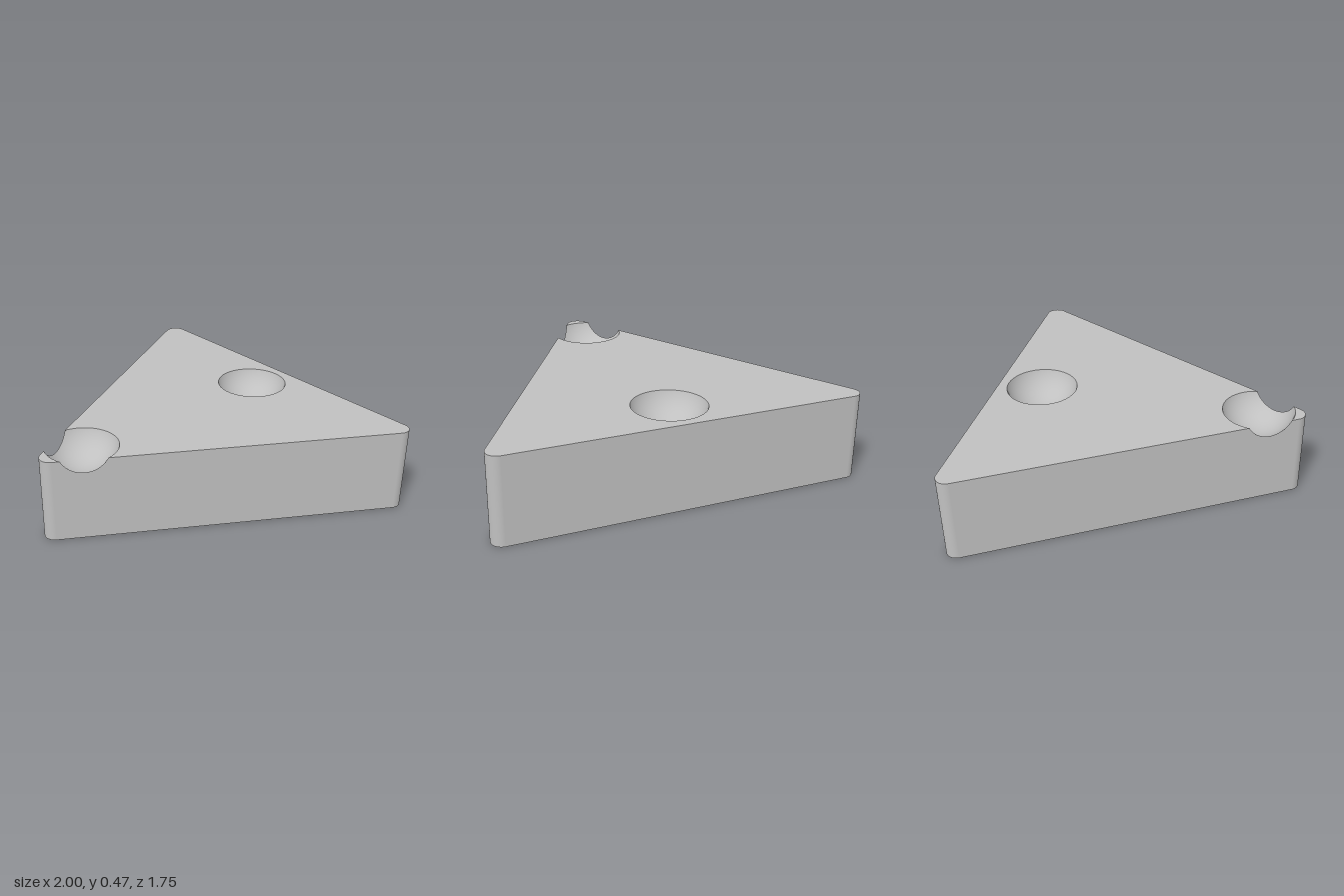
import * as THREE from 'three';

const { PI, sqrt, acos, asin, atan2, cos, sin, hypot, min } = Math;
const H = 0.473;                 // block height
const CR = 0.06;                 // corner rounding
const CX = 0.94, CZ = 0.814;     // corner centres
const MID = -CZ / 3;             // z of the triangle's centroid
const REACH = CZ - MID;          // centroid to corner centre
const APOTHEM = REACH / 2 + CR;  // centroid to side wall
const DIMPLE = 0.2, LIFT = 0.065, BALL = hypot(DIMPLE, LIFT);
const FRONT_Z = 0.62, BACK_Z = -0.622;
const RECESS = 0.16;             // depth of the holes underneath
const rad = (d) => d * PI / 180;

// distance from the front dimple's centre to each side wall, and its cut angle
const CUT = APOTHEM - (FRONT_Z - MID) / 2;
const CUT_DEG = acos(CUT / DIMPLE) * 180 / PI;

// points on an arc in the xz plane, angles in degrees from +x towards +z
function arc(x, z, r, a0, a1, n = 48) {
  return Array.from({ length: n + 1 }, (_, i) => {
    const a = rad(a0 + (a1 - a0) * i / n);
    return new THREE.Vector2(x + r * cos(a), z + r * sin(a));
  });
}

// flat horizontal face from xz outlines
function flat(points, y, up, holes = []) {
  const map = (list) => list.map((p) => new THREE.Vector2(p.x, up ? -p.y : p.y));
  const shape = new THREE.Shape(map(points));
  shape.holes = holes.map((h) => new THREE.Path(map(h)));
  return new THREE.ShapeGeometry(shape).rotateX(up ? -PI / 2 : PI / 2).translate(0, y, 0);
}

// spherical hollow in the top, trimmed where the side walls cut it
function dimple(z, trimmed) {
  const geo = new THREE.RingGeometry(0, 1, 144, 20).rotateX(-PI / 2);
  const pos = geo.attributes.position, nor = geo.attributes.normal;
  for (let i = 0; i < pos.count; i++) {
    const px = pos.getX(i), pz = pos.getZ(i), t = hypot(px, pz), a = atan2(pz, px);
    let rim = DIMPLE;
    if (trimmed) {
      for (const wall of [rad(30), rad(150)]) {
        const c = cos(a - wall);
        if (c > 0.1) rim = min(rim, CUT / c);
      }
    }
    const x = t * rim * cos(a), dz = t * rim * sin(a);
    const drop = sqrt(BALL * BALL - x * x - dz * dz);
    pos.setXYZ(i, x, H + LIFT - drop, z + dz);
    nor.setXYZ(i, -x / BALL, drop / BALL, -dz / BALL);
  }
  return geo;
}

// side wall; notchX places the bite taken by the front dimple
function wall(notchX) {
  const s = new THREE.Shape();
  s.moveTo(-CX, 0).lineTo(CX, 0).lineTo(CX, H);
  if (notchX !== null) {
    const r = sqrt(BALL * BALL - CUT * CUT), a = asin(LIFT / r);
    s.absarc(notchX, H + LIFT, r, -a, a - PI, true);
  }
  s.lineTo(-CX, H);
  return new THREE.ShapeGeometry(s, 40).translate(0, 0, APOTHEM);
}

export function createModel() {
  const model = new THREE.Group();
  model.name = 'triangularBlock';
  const grey = new THREE.MeshStandardMaterial({ color: 0xc0c0c0, side: THREE.DoubleSide });
  grey.name = 'grey';
  const add = (name, geo) => {
    const mesh = new THREE.Mesh(geo, grey);
    mesh.name = name;
    model.add(mesh);
    return mesh;
  };

  // three walls and three rounded corners around the centroid
  const notch = (FRONT_Z - MID) * sin(rad(60));
  [['leftWall', 60, -notch], ['backWall', 180, null], ['rightWall', 300, notch]].forEach(([name, deg, x]) => {
    add(name, wall(x).rotateY(rad(deg)).translate(0, 0, MID));
  });
  [['frontCorner', 0], ['leftCorner', 120], ['rightCorner', 240]].forEach(([name, deg]) => {
    const geo = new THREE.CylinderGeometry(CR, CR, H, 20, 1, true, -PI / 3, 2 * PI / 3);
    add(name, geo.translate(0, H / 2, REACH).rotateY(rad(deg)).translate(0, 0, MID));
  });

  // top face, split by the front dimple
  const leftArc = arc(CX, -CZ, CR, -90, 30, 20);
  const frontArc = arc(0, CZ, CR, 30, 150, 20);
  const rightArc = arc(-CX, -CZ, CR, 150, 270, 20);
  const bite = arc(0, FRONT_Z, DIMPLE, 30 - CUT_DEG, CUT_DEG - 210);
  add('topFace', flat([...leftArc, ...bite, ...rightArc], H, true, [arc(0, BACK_Z, DIMPLE, 0, 357.5, 143)]));
  add('topTip', flat([...frontArc, ...arc(0, FRONT_Z, DIMPLE, 150 - CUT_DEG, 30 + CUT_DEG, 20)], H, true));
  add('backDimple', dimple(BACK_Z, false));
  add('frontDimple', dimple(FRONT_Z, true));

  // holes underneath: a wide one merging with a small one, and a lone small one
  const R = 0.323, r = 0.125, wideZ = -0.19;
  const gap = wideZ - BACK_Z;
  const reach = (gap * gap + r * r - R * R) / (2 * gap);
  const g = acos(reach / r), d = acos((gap - reach) / R);
  const gDeg = g * 180 / PI, dDeg = d * 180 / PI;
  const keyhole = [
    ...arc(0, wideZ, R, dDeg - 90, 270 - dDeg, 72),
    ...arc(0, BACK_Z, r, 90 + gDeg, 450 - gDeg).slice(1, -1),
  ];
  const lone = arc(0, FRONT_Z, r, 0, 352.5, 47);
  add('bottomFace', flat([...leftArc, ...frontArc, ...rightArc], 0, false, [keyhole, lone]));
  add('wideHoleRoof', flat(keyhole, RECESS, false));
  add('smallHoleRoof', flat(lone, RECESS, false));
  const holeWall = (name, radius, z, start, length) => add(name,
    new THREE.CylinderGeometry(radius, radius, RECESS, 72, 1, true, start, length).translate(0, RECESS / 2, z));
  holeWall('wideHoleWall', R, wideZ, PI + d, 2 * PI - 2 * d);
  holeWall('backHoleWall', r, BACK_Z, g, 2 * PI - 2 * g);
  holeWall('frontHoleWall', r, FRONT_Z, 0, 2 * PI);

  return model;
}
